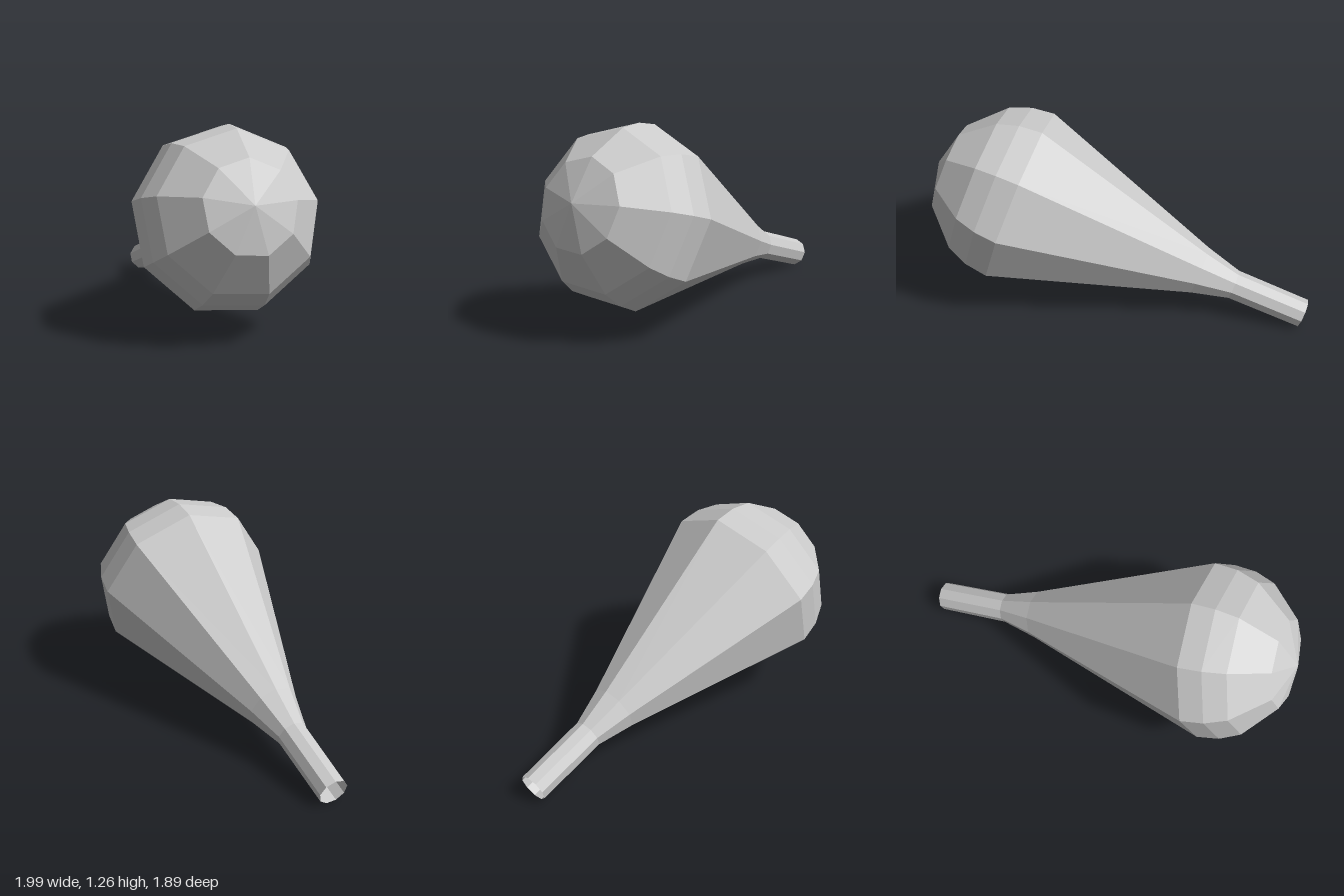
import * as THREE from 'three';

const SIDES = 9;
const HEAD_RADIUS = 0.571;
const HEAD_START = 1.967; // distance along the axis where the dome begins

export function createModel() {
  const group = new THREE.Group();
  const material = new THREE.MeshStandardMaterial({
    color: 0xcccccc, flatShading: true, side: THREE.DoubleSide,
  });

  // Builds a nine-sided surface of revolution from [radius, distance] pairs
  const addPart = (name, profile) => {
    const points = profile.map(([r, s]) => new THREE.Vector2(r, s));
    const mesh = new THREE.Mesh(new THREE.LatheGeometry(points, SIDES), material);
    mesh.name = name;
    body.add(mesh);
  };

  // Lying pose: the axis runs from the stem end to the crown of the head
  const body = new THREE.Group();
  body.name = 'body';
  const axis = new THREE.Vector3(0.7, 0.3065, 0.645).normalize();
  const corner = new THREE.Vector3(0.643, 0.094, -0.759);
  corner.addScaledVector(axis, -corner.dot(axis)).normalize();
  const across = new THREE.Vector3().crossVectors(axis, corner);
  body.quaternion.setFromRotationMatrix(new THREE.Matrix4().makeBasis(across, axis, corner));
  body.position.set(-0.935, 0.084, -0.885);
  group.add(body);

  // Open tubular stem
  addPart('stem', [[0.093, 0], [0.096, 0.483]]);

  // Flared neck widening to the head
  addPart('neck', [[0.096, 0.483], [0.159, 0.722], [HEAD_RADIUS, HEAD_START]]);

  // Faceted dome closing the wide end
  addPart('head', [0, 15, 30, 60, 90].map((deg) => {
    const a = THREE.MathUtils.degToRad(deg);
    return [deg === 90 ? 0 : HEAD_RADIUS * Math.cos(a), HEAD_START + HEAD_RADIUS * Math.sin(a)];
  }));

  return group;
}
